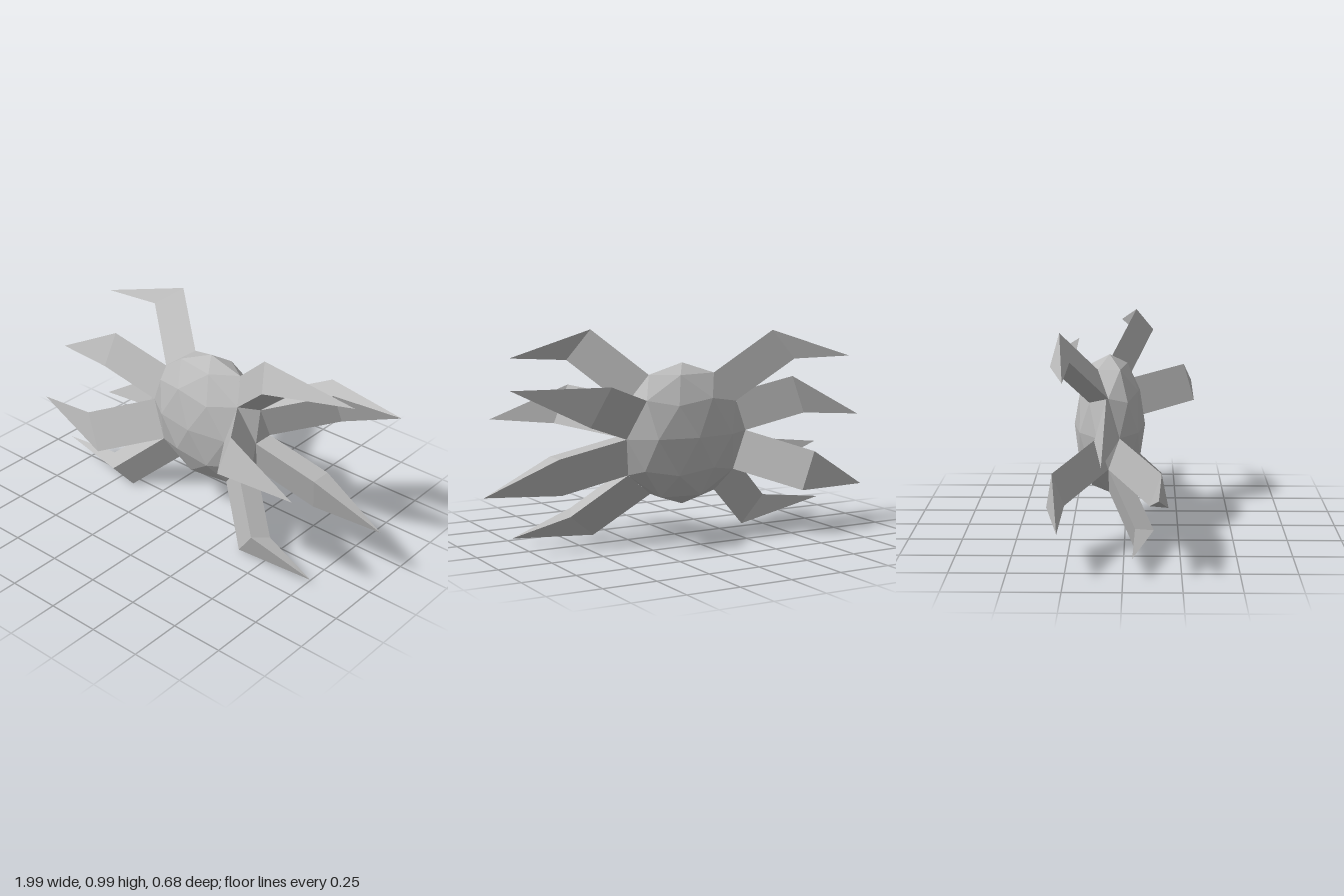
import * as THREE from 'three';

const CENTER = new THREE.Vector3(0, 0.5, -0.073);
const SIZE = new THREE.Vector3(0.333, 0.333, 0.166);

// Rings of body vertices: [horizontal radius, height] on a unit sphere
const RINGS = {
  equator: [1, 0],
  upperCorner: [0.894, 0.447], upperMid: [0.851, 0.526], upperCap: [0.526, 0.851],
  lowerCorner: [0.894, -0.447], lowerMid: [0.851, -0.526], lowerCap: [0.526, -0.851],
};

// Point on the body, angle in degrees from +x towards +z
function bodyPoint([ring, angle]) {
  const [r, h] = RINGS[ring];
  const a = THREE.MathUtils.degToRad(angle);
  return new THREE.Vector3(r * Math.cos(a), h, r * Math.sin(a)).multiply(SIZE).add(CENTER);
}

// Three-sided leg: a straight prism from a body facet to the knee, then a spike
function legGeometry(corners, reach, tip) {
  const base = corners.map(bodyPoint);
  const shift = new THREE.Vector3(...reach);
  // keep the facet counter-clockwise seen from outside
  const normal = base[1].clone().sub(base[0]).cross(base[2].clone().sub(base[0]));
  if (normal.dot(shift) < 0) base.reverse();
  const knee = base.map((p) => p.clone().add(shift));
  const end = new THREE.Vector3(...tip);
  const points = [];
  for (let i = 0; i < 3; i++) {
    const j = (i + 1) % 3;
    points.push(base[i], base[j], knee[j], base[i], knee[j], knee[i]); // thigh side
    points.push(knee[i], knee[j], end); // spike side
  }
  const g = new THREE.BufferGeometry().setFromPoints(points);
  g.computeVertexNormals();
  return g;
}

// name, facet corners, offset to the knee, tip position
const LEGS = [
  ['leftTopLeg', [['upperCorner', 0], ['upperCap', 0], ['upperMid', 36]], [0.235, 0.209, 0.123], [0.843, 0.885, -0.028]],
  ['leftFrontLeg', [['upperMid', 36], ['equator', 18], ['equator', 54]], [0.19, 0.042, 0.275], [0.797, 0.57, 0.335]],
  ['leftBackLeg', [['upperCorner', 0], ['equator', -18], ['upperMid', -36]], [0.27, 0.095, -0.187], [0.935, 0.77, -0.258]],
  ['leftMiddleLeg', [['equator', 18], ['equator', -18], ['lowerMid', 0]], [0.335, -0.065, 0], [0.99, 0.285, -0.073]],
  ['leftBottomLeg', [['lowerCorner', 36], ['lowerMid', 0], ['lowerCap', 36]], [0.218, -0.204, 0.165], [0.775, 0.04, 0.14]],
  ['rightTopLeg', [['upperCap', -144], ['upperMid', 180], ['upperCorner', -144]], [-0.218, 0.201, -0.162], [-0.823, 0.842, -0.25]],
  ['rightMiddleLeg', [['upperMid', 180], ['equator', 162], ['equator', -162]], [-0.333, 0.062, 0], [-1, 0.53, -0.085]],
  ['rightFrontLeg', [['lowerCorner', 180], ['equator', 162], ['lowerMid', 144]], [-0.27, -0.097, 0.187], [-0.905, 0.367, 0.15]],
  ['rightBackLeg', [['lowerCorner', 180], ['equator', -162], ['lowerMid', -144]], [-0.27, -0.097, -0.187], [-0.885, 0.217, -0.275]],
  ['rightBottomLeg', [['lowerCorner', 180], ['lowerCap', 180], ['lowerMid', 144]], [-0.232, -0.211, 0.123], [-0.85, 0.103, 0.04]],
];

export function createModel() {
  const model = new THREE.Group();
  const grey = new THREE.MeshStandardMaterial({ color: 0xbcbcbc });
  grey.name = 'grey';

  const add = (name, geometry) => {
    const mesh = new THREE.Mesh(geometry, grey);
    mesh.name = name;
    model.add(mesh);
  };

  // Faceted, flattened ball with a corner pointing straight up
  const body = new THREE.IcosahedronGeometry(1, 1);
  body.rotateZ(-Math.atan(2 / (1 + Math.sqrt(5))));
  body.scale(SIZE.x, SIZE.y, SIZE.z);
  body.translate(CENTER.x, CENTER.y, CENTER.z);
  body.computeVertexNormals();
  add('body', body);

  for (const [name, corners, reach, tip] of LEGS) add(name, legGeometry(corners, reach, tip));
  return model;
}
